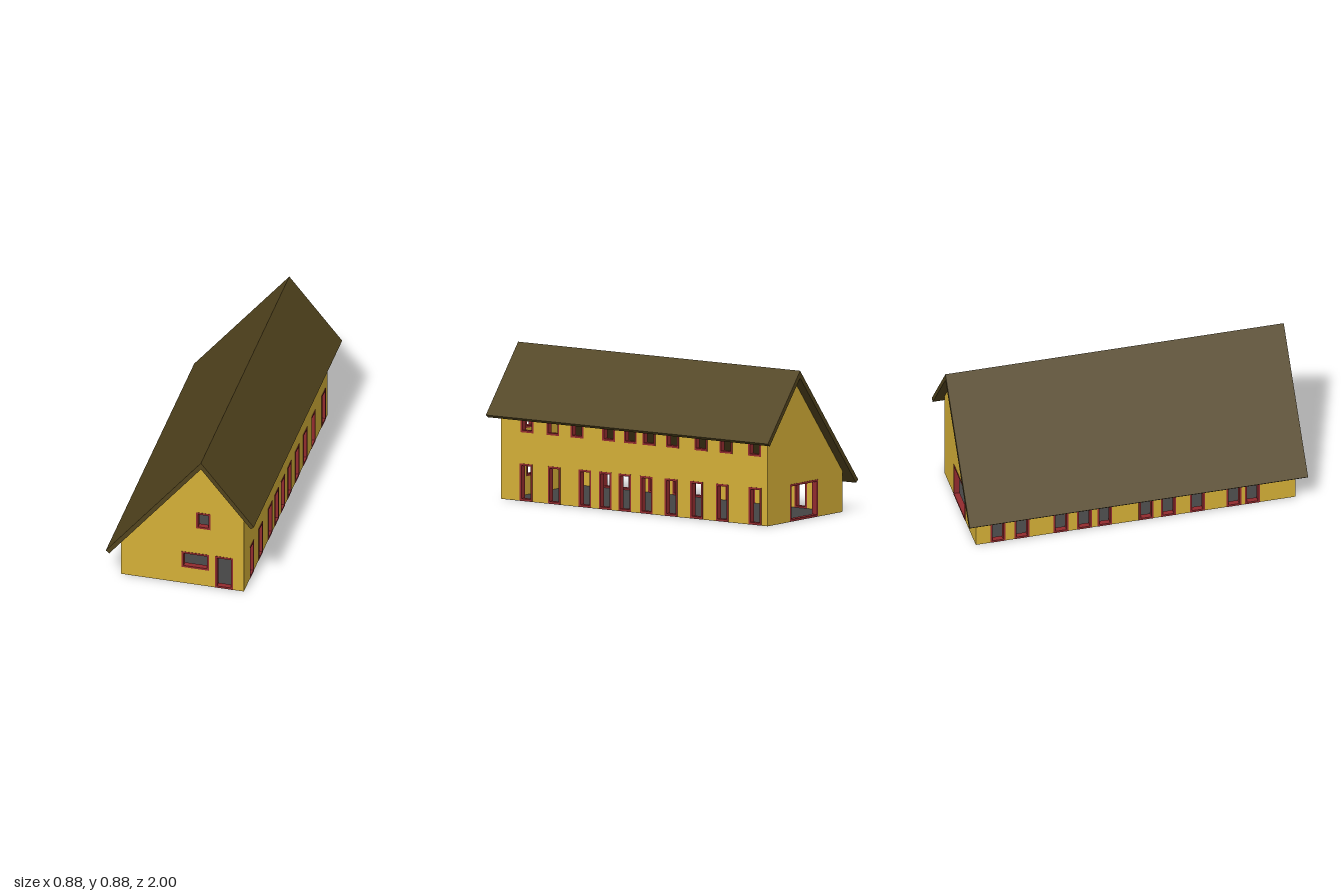
import * as THREE from 'three';

const HALF_W = 0.363, HALF_L = 0.945; // outer wall footprint
const WALL = 0.03;                    // wall thickness
const BASE = 0.002;                   // walls start just above the slab underside
const FRAME = 0.012;                  // visible frame width
const RIDGE_X = 0.123;

const material = (color) => new THREE.MeshStandardMaterial({ color, flatShading: true });

// Rectangle path from its lower left corner
function rect(Type, x, y, w, h) {
  const p = new Type();
  p.moveTo(x, y);
  p.lineTo(x + w, y);
  p.lineTo(x + w, y + h);
  p.lineTo(x, y + h);
  p.closePath();
  return p;
}

function polygon(points) {
  return new THREE.Shape(points.map(([x, y]) => new THREE.Vector2(x, y)));
}

function extrude(shape, depth) {
  return new THREE.ExtrudeGeometry(shape, { depth, bevelEnabled: false });
}

export function createModel() {
  const model = new THREE.Group();
  model.name = 'house';
  const wallMat = material(0xd4af37);
  const frameMat = material(0x922b2e);
  const roofMat = material(0x51431d);
  const floorMat = material(0x444444);

  // A wall with its outer face on local z = 0; openings are [centre x, sill y, width, height]
  function addWall(name, outline, openings, position, turn) {
    const wall = new THREE.Group();
    wall.name = name;
    const shape = polygon(outline);
    for (const [cx, y, w, h] of openings) {
      const x = cx - w / 2;
      const cut = FRAME - 0.004;
      shape.holes.push(rect(THREE.Path, x + cut, y + cut, w - 2 * cut, h - 2 * cut));

      // Frame standing slightly proud of both wall faces
      const ring = rect(THREE.Shape, x, y, w, h);
      ring.holes.push(rect(THREE.Path, x + FRAME, y + FRAME, w - 2 * FRAME, h - 2 * FRAME));
      const frame = new THREE.Mesh(extrude(ring, WALL + 0.004), frameMat);
      frame.position.z = -WALL - 0.002;
      frame.name = y < 0.05 ? 'doorFrame' : 'windowFrame';
      wall.add(frame);
    }
    const panel = new THREE.Mesh(extrude(shape, WALL), wallMat);
    panel.position.z = -WALL;
    panel.name = name + 'Panel';
    wall.add(panel);
    wall.position.set(...position);
    wall.rotation.y = turn;
    model.add(wall);
  }

  // Gable outline; side -1 mirrors it for the back
  const gable = (side) => [
    [-HALF_W, BASE], [HALF_W, BASE], [HALF_W, 0.54], [RIDGE_X, 0.836], [-HALF_W, 0.238],
  ].map(([x, y]) => [x * side, y]);

  addWall('frontGable', gable(1), [
    [0.075, 0.11, 0.162, 0.107],
    [0.246, BASE, 0.107, 0.215],
    [0.123, 0.39, 0.085, 0.108],
  ], [0, 0, HALF_L], 0);

  addWall('backGable', gable(-1), [
    [-0.012, BASE, 0.27, 0.215],
  ], [0, 0, -HALF_L], Math.PI);

  // Long walls fit between the gables
  const end = HALF_L - WALL;
  const longWall = (top) => [[-end, BASE], [end, BASE], [end, top], [-end, top]];
  const door = (x) => [x, BASE, 0.088, 0.215];
  const upperWindow = (x) => [x, 0.398, 0.09, 0.108];

  const rightDoors = [0.768, 0.569, 0.35, 0.206, 0.067, -0.086, -0.26, -0.441, -0.623, -0.856];
  const rightWindows = [0.76, 0.578, 0.406, 0.182, 0.029, -0.104, -0.27, -0.473, -0.65, -0.853];
  addWall('tallSideWall', longWall(0.54),
    [...rightDoors.map((z) => door(-z)), ...rightWindows.map((z) => upperWindow(-z))],
    [HALF_W, 0, 0], Math.PI / 2);

  const leftDoors = [0.69, 0.58, 0.365, 0.193, 0.062, -0.183, -0.303, -0.441, -0.672, -0.815];
  addWall('lowSideWall', longWall(0.238), leftDoors.map(door), [-HALF_W, 0, 0], -Math.PI / 2);

  // Asymmetric pitched roof
  const roof = new THREE.Mesh(extrude(polygon([
    [-0.42, 0.167], [RIDGE_X, 0.835], [0.417, 0.474],
    [0.436, 0.489], [RIDGE_X, 0.877], [-0.44, 0.184],
  ]), 2), roofMat);
  roof.position.z = -1;
  roof.name = 'roof';
  model.add(roof);

  // Ground slab
  const floor = new THREE.Mesh(
    new THREE.BoxGeometry(2 * HALF_W - 0.004, 0.004, 2 * HALF_L - 0.004), floorMat);
  floor.position.y = 0.002;
  floor.name = 'floor';
  model.add(floor);

  return model;
}
